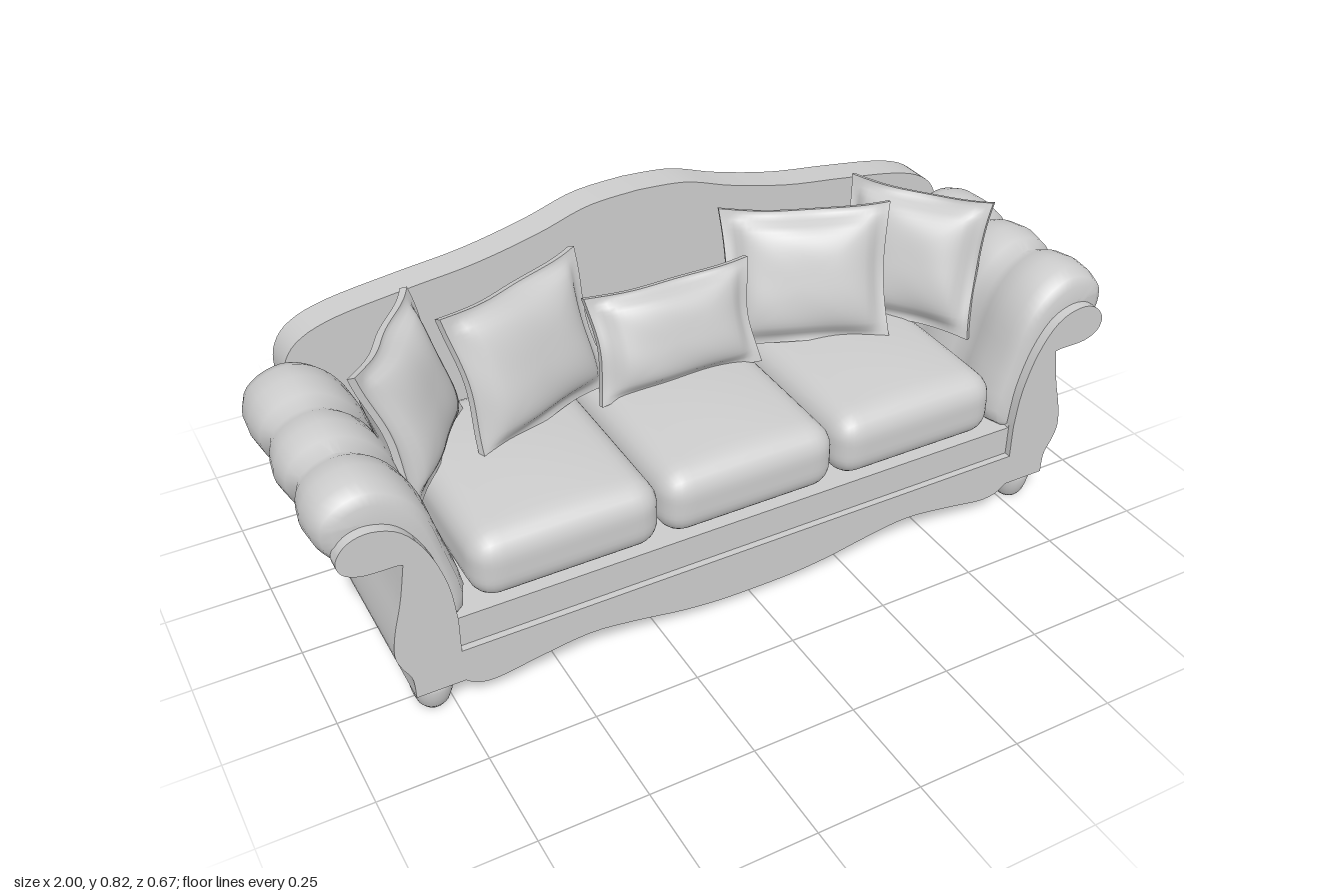
import * as THREE from 'three';
import { mergeVertices, toCreasedNormals } from 'three/addons/utils/BufferGeometryUtils.js';

const fabric = new THREE.MeshStandardMaterial({ color: 0xcccccc });
fabric.name = 'pale grey fabric';

function add(parent, name, geometry, x = 0, y = 0, z = 0) {
  const mesh = new THREE.Mesh(geometry, fabric);
  mesh.name = name;
  mesh.position.set(x, y, z);
  parent.add(mesh);
  return mesh;
}

// smooth run of points through a few guides
const smooth = (pts, n) =>
  new THREE.SplineCurve(pts.map(([x, y]) => new THREE.Vector2(x, y))).getPoints(n);
const corners = (pts) => pts.map(([x, y]) => new THREE.Vector2(x, y));

// mirror a right-hand half outline (bottom centre to top centre) and extrude it between two depths
function slab(half, z0, z1) {
  const left = half.filter((p) => p.x > 1e-4).reverse().map((p) => new THREE.Vector2(-p.x, p.y));
  const geo = new THREE.ExtrudeGeometry(new THREE.Shape([...half, ...left]), {
    depth: z1 - z0, bevelEnabled: false,
  });
  geo.translate(0, 0, z0);
  return toCreasedNormals(geo, 0.6);
}

// scalloped apron and curvy flank shared by all frame pieces
const apron = [
  ...smooth([[0, 0.035], [0.1, 0.037], [0.2, 0.047], [0.32, 0.068], [0.43, 0.08], [0.55, 0.066],
    [0.65, 0.05], [0.7, 0.055], [0.73, 0.075]], 32),
  ...smooth([[0.842, 0.075], [0.845, 0.13], [0.865, 0.17], [0.877, 0.21], [0.87, 0.27],
    [0.85, 0.35], [0.835, 0.44]], 20),
];

// soft box with rounded edges and a crowned top
function cushion(w, h, d, r) {
  let geo = new THREE.BoxGeometry(w, h, d, 24, 12, 24);
  geo.deleteAttribute('normal');
  geo.deleteAttribute('uv');
  geo = mergeVertices(geo);
  const pos = geo.attributes.position;
  const p = new THREE.Vector3(), core = new THREE.Vector3();
  const half = new THREE.Vector3(w / 2 - r, h / 2 - r, d / 2 - r);
  for (let i = 0; i < pos.count; i++) {
    p.fromBufferAttribute(pos, i);
    core.copy(p).clamp(half.clone().negate(), half);
    const off = p.clone().sub(core);
    if (off.lengthSq() > 0) p.copy(core).addScaledVector(off.normalize(), r);
    const u = (2 * p.x) / w, v = (2 * p.z) / d;
    if (p.y > 0) p.y += 0.022 * (1 - u * u) * (1 - v * v) * (p.y / (h / 2));
    pos.setXYZ(i, p.x, p.y, p.z);
  }
  geo.computeVertexNormals();
  return geo;
}

// throw pillow: puffed middle, flat flange, edges drawn in between pointed corners
function pillow(w, h, thick) {
  const geo = new THREE.BoxGeometry(2, 2, 2, 28, 28, 1);
  const pos = geo.attributes.position;
  const border = 0.87;
  for (let i = 0; i < pos.count; i++) {
    const u = pos.getX(i), v = pos.getY(i), side = Math.sign(pos.getZ(i));
    const a = Math.max(0, 1 - Math.pow(Math.abs(u) / border, 3));
    const b = Math.max(0, 1 - Math.pow(Math.abs(v) / border, 3));
    const x = u * (w / 2) * (1 - 0.07 * (1 - v * v));
    const y = v * (h / 2) * (1 - 0.07 * (1 - u * u));
    const ripple = 0.006 * Math.sin(5 * u + 4 * v) * Math.max(u * u, v * v);
    pos.setXYZ(i, x, y, ripple + side * (0.009 + (thick / 2) * Math.sqrt(a * b)));
  }
  geo.computeVertexNormals();
  return geo;
}

// rolled arm pad: [x, y] skin points, each with the spine point it shrinks towards
const armSection = [
  [0.80, 0.44, 0.83, 0.46], [0.90, 0.44, 0.89, 0.46], [0.965, 0.46, 0.90, 0.49],
  [1.00, 0.53, 0.90, 0.53], [0.97, 0.60, 0.90, 0.53], [0.89, 0.63, 0.89, 0.53],
  [0.82, 0.605, 0.87, 0.52], [0.765, 0.54, 0.83, 0.50], [0.725, 0.42, 0.80, 0.42],
  [0.69, 0.25, 0.79, 0.25], [0.78, 0.23, 0.79, 0.23], [0.79, 0.34, 0.81, 0.40],
];
// [z, fullness] along the arm, with two tufted creases
const armFullness = [
  [0.31, 0], [0.31, 0.6], [0.298, 0.82], [0.265, 0.95], [0.215, 1], [0.165, 0.92], [0.13, 0.75],
  [0.095, 0.91], [0.04, 1], [-0.015, 0.92], [-0.05, 0.78], [-0.085, 0.92], [-0.15, 1],
  [-0.205, 0.97], [-0.235, 0.86], [-0.25, 0.68], [-0.25, 0],
];
function armPad(side) {
  const loop = (k) => new THREE.CatmullRomCurve3(
    armSection.map((s) => new THREE.Vector3(s[k], s[k + 1], 0)), true);
  const skin = loop(0), spine = loop(2), n = 48;
  const verts = [], index = [];
  armFullness.forEach(([z, f], i) => {
    for (let j = 0; j < n; j++) {
      const p = spine.getPoint(j / n).lerp(skin.getPoint(j / n), f);
      verts.push(side * p.x, p.y, z);
      if (i === 0) continue;
      const k = (j + 1) % n;
      const a = (i - 1) * n + j, b = (i - 1) * n + k, c = i * n + j, d = i * n + k;
      if (side > 0) index.push(a, c, b, b, c, d);
      else index.push(a, b, c, b, d, c);
    }
  });
  const geo = new THREE.BufferGeometry();
  geo.setAttribute('position', new THREE.Float32BufferAttribute(verts, 3));
  geo.setIndex(index);
  return toCreasedNormals(geo, 0.9);
}

export function createModel() {
  const sofa = new THREE.Group();
  sofa.name = 'sofa';

  // frame: body with seat deck, camel back, scrolled front panel
  const body = [...apron, ...corners([[0.79, 0.44], [0.73, 0.238], [0, 0.238]])];
  add(sofa, 'body', slab(body, -0.3, 0.318));

  const back = [...apron, ...smooth([[0.836, 0.46], [0.86, 0.478], [0.883, 0.53], [0.88, 0.6],
    [0.84, 0.653], [0.75, 0.687], [0.58, 0.712], [0.42, 0.732], [0.26, 0.768], [0.13, 0.808],
    [0, 0.818]], 44)];
  add(sofa, 'backrest', slab(back, -0.335, -0.25));

  const front = [...apron, ...smooth([[0.85, 0.443], [0.92, 0.445], [0.96, 0.465], [0.968, 0.5],
    [0.94, 0.535], [0.89, 0.545], [0.83, 0.52], [0.78, 0.45], [0.745, 0.35], [0.732, 0.25]], 36),
  ...corners([[0.732, 0.16], [0, 0.16]])];
  add(sofa, 'frontPanel', slab(front, 0.305, 0.335));

  // arms
  add(sofa, 'leftArm', armPad(1));
  add(sofa, 'rightArm', armPad(-1));

  // seat cushions
  const seat = cushion(0.452, 0.165, 0.57, 0.06);
  for (const i of [-1, 0, 1]) add(sofa, 'seatCushion', seat, i * 0.455, 0.321, 0.035);

  // pillows: [name, width, height, thickness, x, y, z, yaw], mirrored when off centre
  const pillows = [
    ['middlePillow', 0.43, 0.265, 0.1, 0, 0.527, -0.07, 0],
    ['innerPillow', 0.42, 0.35, 0.11, 0.37, 0.572, -0.08, 0.4],
    ['outerPillow', 0.37, 0.35, 0.11, 0.665, 0.562, -0.05, 0.95],
  ];
  for (const [name, w, h, t, x, y, z, yaw] of pillows) {
    for (const side of x ? [1, -1] : [1]) {
      const p = add(sofa, name, pillow(w, h, t), side * x, y, z);
      p.rotation.set(-0.3, -side * yaw, 0, 'YXZ');
    }
  }

  // bun feet
  const foot = new THREE.LatheGeometry(
    corners([[0, 0], [0.027, 0], [0.036, 0.012], [0.044, 0.035], [0.049, 0.06], [0.047, 0.08], [0, 0.085]]), 24);
  for (const x of [-0.79, 0.79]) for (const z of [-0.28, 0.28]) add(sofa, 'foot', foot, x, 0, z);

  return sofa;
}
